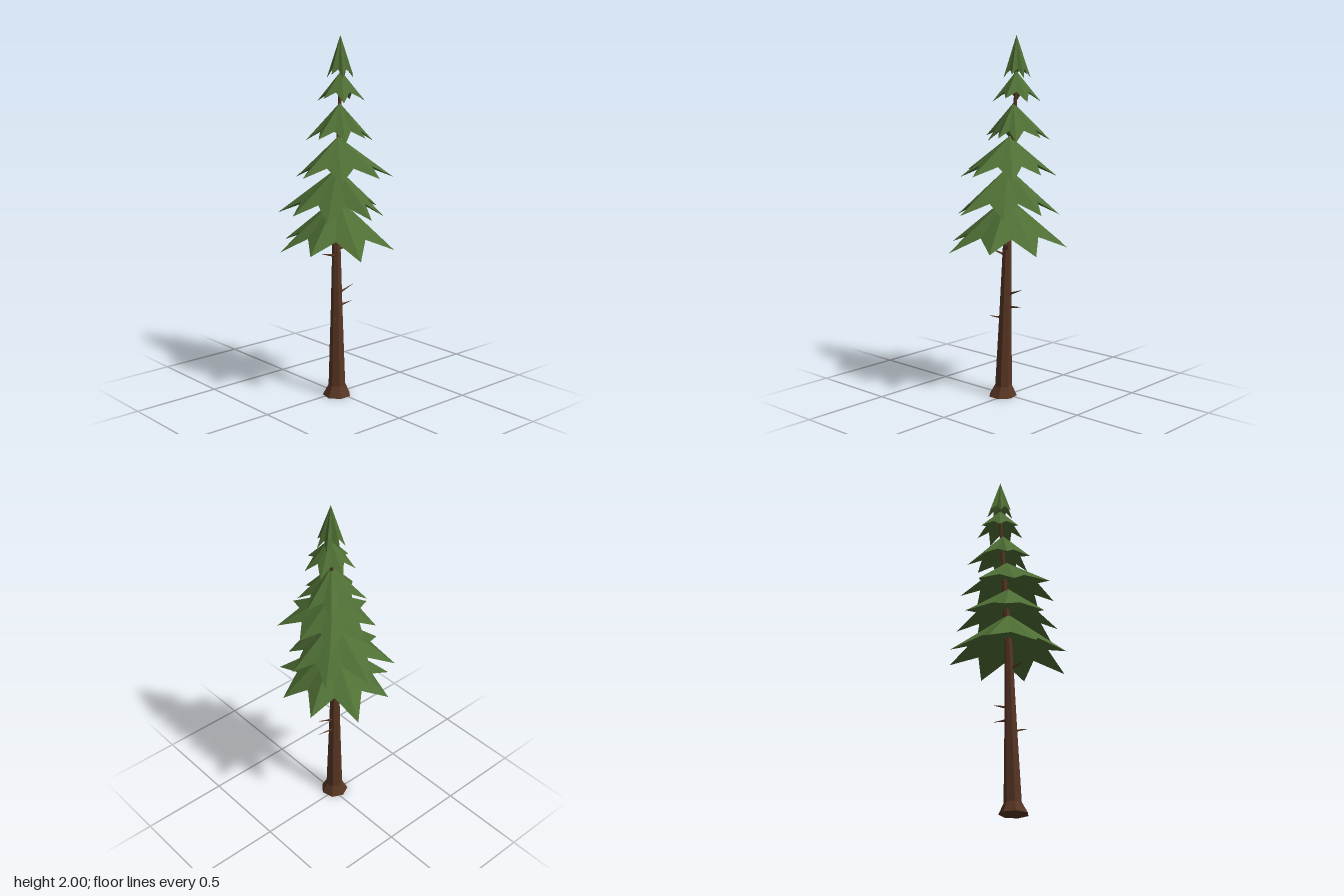
import * as THREE from 'three';

const green = new THREE.MeshStandardMaterial({ color: 0x4f6f35, flatShading: true });
const brown = new THREE.MeshStandardMaterial({ color: 0x573523, flatShading: true });

// Flat-faced geometry from a list of triangles (each three Vector3)
function facets(triangles) {
  const geometry = new THREE.BufferGeometry().setFromPoints(triangles.flat());
  geometry.computeVertexNormals();
  return geometry;
}

// Evenly spread [x, z] tips for the small upper tiers
function ringTips(cx, cz, radius, count, startDegrees) {
  return Array.from({ length: count }, (_, i) => {
    const a = THREE.MathUtils.degToRad(startDegrees + (360 * i) / count);
    return [cx + radius * Math.cos(a), cz + radius * Math.sin(a)];
  });
}

// Star-shaped skirt of needles: drooping tips, higher valleys, hollow underside
function tierGeometry({ centre: [cx, cz], top, low, lift, tips }) {
  const apex = new THREE.Vector3(cx, top, cz);
  const under = new THREE.Vector3(cx, low + (top - low) * 0.5, cz);
  const rim = [];
  tips.forEach(([x, z], i) => {
    const [nx, nz] = tips[(i + 1) % tips.length];
    const tip = new THREE.Vector3(x, low + (i % 2 ? 0.012 : -0.008), z);
    const valley = new THREE.Vector3(
      cx + ((x + nx) / 2 - cx) * 0.7, low + lift, cz + ((z + nz) / 2 - cz) * 0.7);
    rim.push(tip, valley);
  });
  const triangles = [];
  rim.forEach((p, i) => {
    const q = rim[(i + 1) % rim.length];
    triangles.push([apex, q, p], [under, p, q]);
  });
  return facets(triangles);
}

// Trunk lofted through rings [y, x, z, radius]
function trunkGeometry(rings, sides) {
  const loops = rings.map(([y, x, z, r]) => Array.from({ length: sides }, (_, i) => {
    const a = ((i + 0.25) / sides) * Math.PI * 2;
    return new THREE.Vector3(x + r * Math.cos(a), y, z + r * Math.sin(a));
  }));
  const foot = new THREE.Vector3(rings[0][1], rings[0][0], rings[0][2]);
  const triangles = [];
  for (let i = 0; i < sides; i++) {
    const j = (i + 1) % sides;
    triangles.push([foot, loops[0][i], loops[0][j]]);
    for (let k = 0; k < loops.length - 1; k++) {
      const [a, b] = [loops[k], loops[k + 1]];
      triangles.push([a[i], b[i], b[j]], [a[i], b[j], a[j]]);
    }
  }
  return facets(triangles);
}

export function createModel() {
  const tree = new THREE.Group();
  tree.name = 'pineTree';

  const add = (name, geometry, material) => {
    const mesh = new THREE.Mesh(geometry, material);
    mesh.name = name;
    tree.add(mesh);
    return mesh;
  };

  // Flared foot, then a long slightly leaning taper
  add('trunk', trunkGeometry([
    [0, -0.02, 0.02, 0.08],
    [0.06, -0.016, 0.018, 0.049],
    [0.5, -0.01, 0.008, 0.034],
    [0.93, -0.004, -0.002, 0.022],
    [1.4, 0.022, -0.016, 0.014],
    [1.75, 0.042, -0.023, 0.008],
  ], 7), brown);

  // Bare twigs: start and end points
  const twigs = [
    [[-0.01, 0.80, 0.00], [-0.14, 0.835, 0.02]],
    [[0.00, 0.84, 0.01], [0.08, 0.88, 0.09]],
    [[0.00, 0.58, 0.00], [0.12, 0.625, 0.01]],
    [[0.00, 0.51, 0.00], [0.115, 0.525, 0.005]],
    [[-0.02, 0.445, 0.01], [-0.08, 0.46, 0.07]],
  ];
  twigs.forEach(([from, to], i) => {
    const start = new THREE.Vector3(...from);
    const along = new THREE.Vector3(...to).sub(start);
    const length = along.length();
    const geometry = new THREE.ConeGeometry(0.009, length, 4).translate(0, length / 2, 0);
    const twig = add(`twig${i + 1}`, geometry, brown);
    twig.position.copy(start);
    twig.quaternion.setFromUnitVectors(new THREE.Vector3(0, 1, 0), along.normalize());
  });

  // Foliage from the lowest tier to the crown; tips are [x, z]
  const tiers = [
    { centre: [0, 0], top: 1.13, low: 0.85, lift: 0.075, tips: [
      [0.12, -0.33], [0.30, -0.15], [0.29, 0.095], [0.145, 0.30],
      [-0.125, 0.33], [-0.30, 0.128], [-0.30, -0.125], [-0.13, -0.30]] },
    { centre: [0, 0], top: 1.29, low: 1.04, lift: 0.07, tips: [
      [-0.21, -0.26], [0.03, -0.31], [0.22, -0.18], [0.27, 0.03],
      [0.157, 0.203], [-0.045, 0.325], [-0.215, 0.165], [-0.285, -0.035]] },
    { centre: [0.01, -0.005], top: 1.46, low: 1.25, lift: 0.06, tips: [
      [-0.17, -0.145], [0, -0.245], [0.195, -0.185], [0.24, 0],
      [0.225, 0.205], [0.03, 0.305], [-0.155, 0.21], [-0.27, 0.034]] },
    { centre: [0.03, -0.015], top: 1.64, low: 1.445, lift: 0.05, tips: [
      [-0.11, -0.135], [0.03, -0.18], [0.165, -0.165], [0.21, -0.03],
      [0.16, 0.11], [0.07, 0.15], [-0.04, 0.115], [-0.145, 0.015]] },
    { centre: [0.045, -0.02], top: 1.81, low: 1.655, lift: 0.045,
      tips: ringTips(0.048, -0.02, 0.133, 7, 23) },
    { centre: [0.043, -0.024], top: 2, low: 1.78, lift: 0.04,
      tips: ringTips(0.045, -0.024, 0.075, 7, 18) },
  ];
  tiers.forEach((tier, i) => add(`foliageTier${i + 1}`, tierGeometry(tier), green));

  return tree;
}
